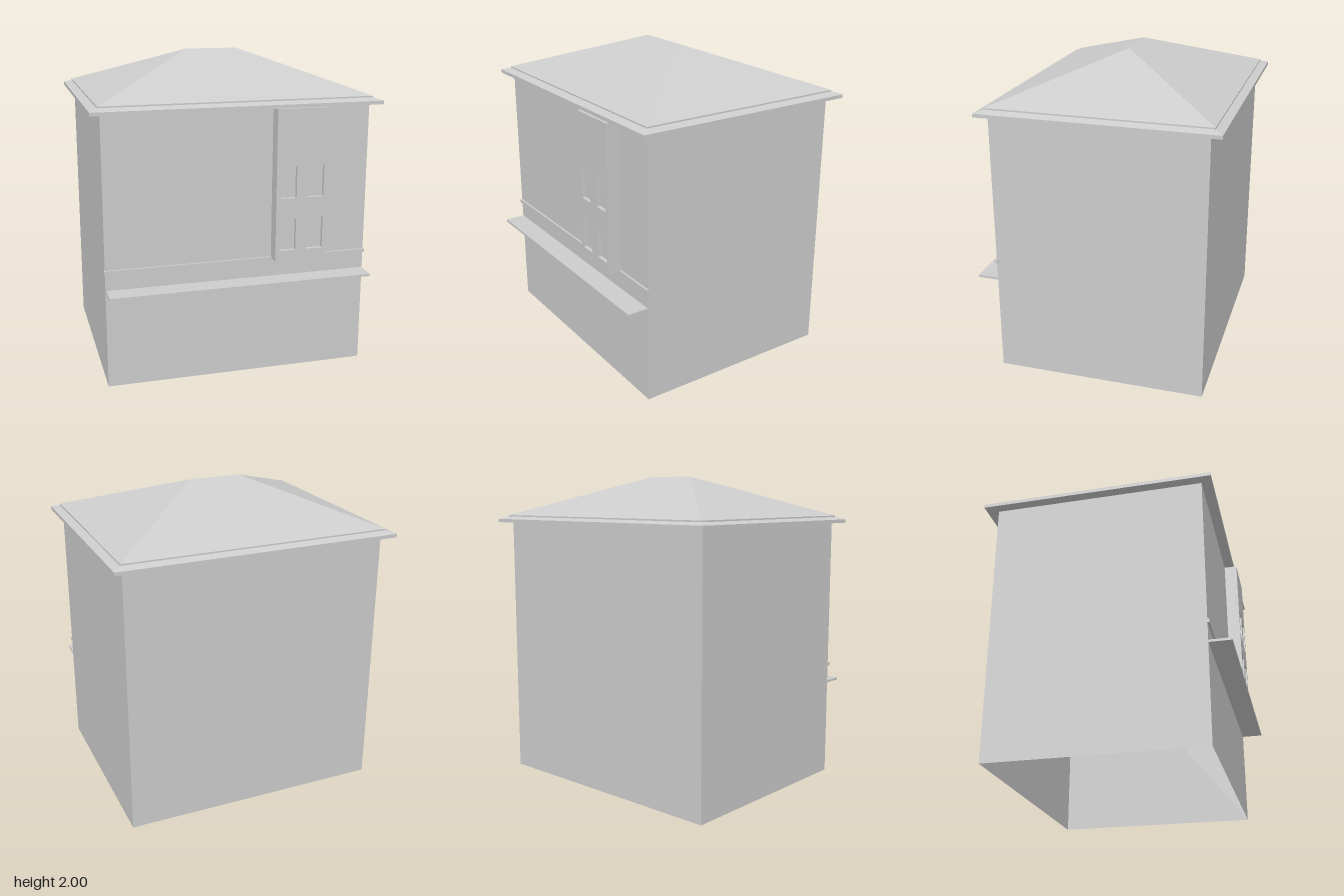
import * as THREE from 'three';

export function createModel() {
  const house = new THREE.Group();
  house.name = 'house';
  const plaster = new THREE.MeshStandardMaterial({ color: 0xcccccc, side: THREE.DoubleSide });
  plaster.name = 'plaster grey';

  const add = (name, geometry) => {
    const mesh = new THREE.Mesh(geometry, plaster);
    mesh.name = name;
    house.add(mesh);
    return mesh;
  };
  // Box given by its limits on each axis
  const box = (name, x0, x1, y0, y1, z0, z1) =>
    add(name, new THREE.BoxGeometry(x1 - x0, y1 - y0, z1 - z0))
      .position.set((x0 + x1) / 2, (y0 + y1) / 2, (z0 + z1) / 2);

  // Flat-sided shell through rectangular rings [half width, front z, back z, y]
  const shell = (name, rings) => {
    const corners = ([w, f, b, y]) => [[-w, y, f], [w, y, f], [w, y, b], [-w, y, b]];
    const points = [];
    for (let i = 0; i < rings.length - 1; i++) {
      const low = corners(rings[i]), high = corners(rings[i + 1]);
      for (let k = 0; k < 4; k++) {
        const n = (k + 1) % 4;
        points.push(low[k], low[n], high[n], low[k], high[n], high[k]);
      }
    }
    const geometry = new THREE.BufferGeometry();
    geometry.setAttribute('position', new THREE.Float32BufferAttribute(points.flat(), 3));
    geometry.computeVertexNormals();
    return add(name, geometry);
  };

  const W = 0.835, FRONT = 0.635, BACK = -0.695, EAVE = 1.7;

  // Walls, open underneath
  shell('walls', [[W, FRONT, BACK, 0], [W, FRONT, BACK, EAVE]]);

  // Eaves: soffit, fascia and a short sloped border; then the hipped roof
  const mid = -0.035;
  shell('eaves', [
    [0, mid, mid, EAVE],
    [0.9, 0.7, -0.77, EAVE],
    [0.9, 0.7, -0.77, 1.722],
    [0.85, 0.65, -0.72, 1.738],
  ]);
  shell('roof', [
    [0.85, 0.65, -0.72, 1.738],
    [0.85, 0.65, -0.72, 1.747],
    [0.17, mid, mid, 2],
  ]);

  // Shop canopy and string course across the front
  box('canopy', -0.83, 0.83, 0.615, 0.63, FRONT, 0.77);
  box('stringCourse', -0.84, 0.84, 0.735, 0.758, FRONT - 0.01, 0.648);

  // Projecting bay with four recessed windows
  const bay = new THREE.Shape();
  bay.moveTo(0.21, 0.748).lineTo(0.54, 0.748).lineTo(0.54, EAVE).lineTo(0.21, EAVE).closePath();
  for (const x of [0.235, 0.41]) {
    for (const y of [0.818, 1.15]) {
      const h = 0.2, w = 0.105;
      const hole = new THREE.Path();
      hole.moveTo(x, y).lineTo(x, y + h).lineTo(x + w, y + h).lineTo(x + w, y).closePath();
      bay.holes.push(hole);
      box('bayWindowPane', x, x + w, y, y + h, 0.689, 0.695);
    }
  }
  add('bay', new THREE.ExtrudeGeometry(bay, { depth: 0.085, bevelEnabled: false }))
    .position.z = FRONT;

  // Window boxes standing proud of the inner wall faces
  const D = 0.035, gap = 0.002;
  for (const x of [-0.63, -0.21, 0.21, 0.63]) {
    box('shopWindow', x - 0.18, x + 0.18, 0.34, 0.59, FRONT - D, FRONT - gap);
  }
  for (const x of [-0.485, -0.145]) {
    for (const y of [0.77, 1.15]) {
      box('upperWindow', x - 0.06, x + 0.06, y, y + 0.24, FRONT - D, FRONT - gap);
    }
  }
  box('sideWindow', -W + gap, -W + D, 0.31, 0.6, -0.11, 0.01);

  return house;
}
